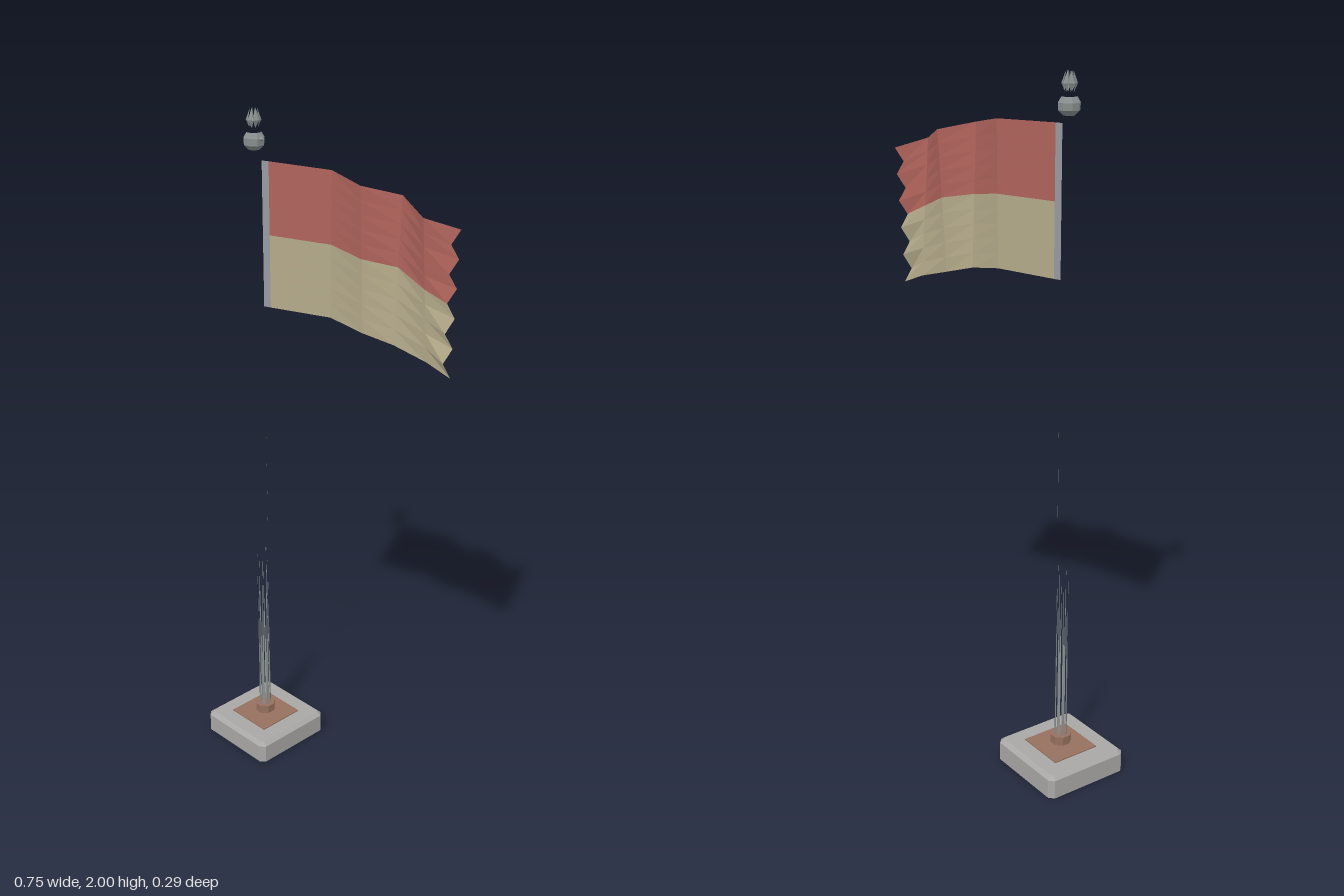
import * as THREE from 'three';

const CX = -0.243, CZ = 0.012; // mast axis

const mat = (name, color, double = false) => {
  const m = new THREE.MeshStandardMaterial({ color, flatShading: true });
  m.name = name;
  if (double) m.side = THREE.DoubleSide;
  return m;
};

// Mesh from a list of triangles (each three Vector3)
function triMesh(name, tris, material) {
  const g = new THREE.BufferGeometry().setFromPoints(tris.flat());
  g.computeVertexNormals();
  const m = new THREE.Mesh(g, material);
  m.name = name;
  return m;
}
const V = (x, y, z) => new THREE.Vector3(x, y, z);
const polar = (r, a, y) => V(r * Math.cos(a), y, r * Math.sin(a));

// Square outline with cut corners
const cutSquare = (h, c, y) => [
  [h, h - c], [h - c, h], [c - h, h], [-h, h - c],
  [-h, c - h], [c - h, -h], [h - c, -h], [h, c - h],
].map(([x, z]) => V(x, y, z));

function plinth(material) {
  const rings = [cutSquare(0.134, 0.014, 0), cutSquare(0.134, 0.014, 0.057), cutSquare(0.122, 0.006, 0.068)];
  const tris = [];
  for (let k = 0; k < 2; k++) {
    for (let i = 0; i < 8; i++) {
      const j = (i + 1) % 8, a = rings[k], b = rings[k + 1];
      tris.push([a[i], b[i], b[j]], [a[i], b[j], a[j]]);
    }
  }
  for (let i = 0; i < 8; i++) {
    const j = (i + 1) % 8;
    tris.push([V(0, 0, 0), rings[0][i], rings[0][j]], [V(0, 0.068, 0), rings[2][j], rings[2][i]]);
  }
  return triMesh('plinth', tris, material);
}

// Flag columns: x, z at top, z at bottom, y of top, middle and bottom
const COLS = [
  [-0.205, 0.02, 0.02, 1.866, 1.664, 1.458],
  [-0.184, 0.014, 0.014, 1.866, 1.664, 1.458],
  [0.0, -0.042, -0.039, 1.863, 1.664, 1.46],
  [0.115, -0.031, -0.046, 1.843, 1.648, 1.442],
  [0.195, -0.105, -0.082, 1.82, 1.632, 1.42],
  [0.295, -0.073, -0.102, 1.785, 1.595, 1.393],
  [0.362, -0.143, -0.115, 1.755, 1.565, 1.363],
];
const ROWS = 10;
function flagPoint(c, r) {
  const [x, zt, zb, yt, ym, yb] = COLS[c];
  const t = r / ROWS, lerp = THREE.MathUtils.lerp;
  const y = t < 0.5 ? lerp(yt, ym, t * 2) : lerp(ym, yb, t * 2 - 1);
  const last = c === COLS.length - 1;
  const notch = last && r % 2 ? 0.016 : 0; // frayed outer edge
  return V(x - notch + (last ? 0.009 * t : 0), y, lerp(zt, zb, t) + notch);
}
function flagPart(name, c0, c1, r0, r1, material) {
  const tris = [];
  for (let c = c0; c < c1; c++) {
    for (let r = r0; r < r1; r++) {
      const a = flagPoint(c, r), b = flagPoint(c + 1, r), d = flagPoint(c, r + 1), e = flagPoint(c + 1, r + 1);
      tris.push([a, d, e], [a, e, b]);
    }
  }
  return triMesh(name, tris, material);
}

export function createModel() {
  const root = new THREE.Group();
  root.name = 'flagOnStand';
  const stone = mat('stone grey', 0xaaa8a6);
  const brown = mat('brown', 0x96705f);
  const steel = mat('steel grey', 0x8a9090, true);
  const shell = mat('finial grey', 0x8a9090);
  const hem = mat('hem grey', 0x989ba0, true);
  const red = mat('faded red', 0xb0645c, true);
  const cream = mat('cream', 0xb5ab8b, true);

  const stand = new THREE.Group();
  stand.name = 'stand';
  stand.position.set(CX, 0, CZ);
  root.add(stand);

  // Base with an inset plate and an eight-sided collar
  stand.add(plinth(stone));
  const plate = new THREE.Mesh(new THREE.BoxGeometry(0.15, 0.006, 0.15), brown);
  plate.name = 'basePlate';
  plate.position.y = 0.068;
  const collar = new THREE.Mesh(new THREE.CylinderGeometry(0.031, 0.031, 0.026, 8), brown);
  collar.name = 'collar';
  collar.rotation.y = Math.PI / 8;
  collar.position.y = 0.092;
  stand.add(plate, collar);

  // Remains of the mast: tall slivers around the collar
  const slivers = [], teeth = [], step = Math.PI / 4;
  for (let i = 0; i < 8; i++) {
    const a = i * step, b = a + step * 0.55;
    slivers.push([polar(0.018, b, 0.105), polar(0.018, a, 0.105), polar(0.016, a, 0.69 - 0.04 * (i % 3))]);
    // Diamond teeth of the crown
    const l = polar(0.021, a, 1.968), r = polar(0.021, a + step, 1.968);
    const m = a + step / 2;
    teeth.push([r, l, polar(0.01, m, 2)], [l, r, polar(0.012, m, 1.947)]);
  }
  stand.add(triMesh('mastSlivers', slivers, steel), triMesh('crownTeeth', teeth, steel));

  // Open eight-sided finial cup
  const profile = [[0.016, 1.889], [0.029, 1.902], [0.03, 1.921], [0.021, 1.936]].map(([r, y]) => new THREE.Vector2(r, y));
  const cup = new THREE.Mesh(new THREE.LatheGeometry(profile, 8, Math.PI / 8), shell);
  cup.name = 'finialCup';
  const hook = new THREE.Mesh(new THREE.ConeGeometry(0.008, 0.02, 4), shell);
  hook.name = 'hook';
  hook.rotation.z = -Math.PI / 2;
  hook.position.set(0.033, 1.92, 0);
  stand.add(cup, hook);

  // Loose halyard strand
  root.add(triMesh('halyard', [
    [V(-0.213, 0.78, 0.014), V(-0.209, 0.78, 0.018), V(-0.211, 1.1, 0.016)],
  ], steel));

  // Flag with hem, upper red and lower cream bands
  const flag = new THREE.Group();
  flag.name = 'flag';
  flag.add(
    flagPart('hem', 0, 1, 0, ROWS, hem),
    flagPart('upperBand', 1, 6, 0, 5, red),
    flagPart('lowerBand', 1, 6, 5, ROWS, cream),
  );
  root.add(flag);
  return root;
}
